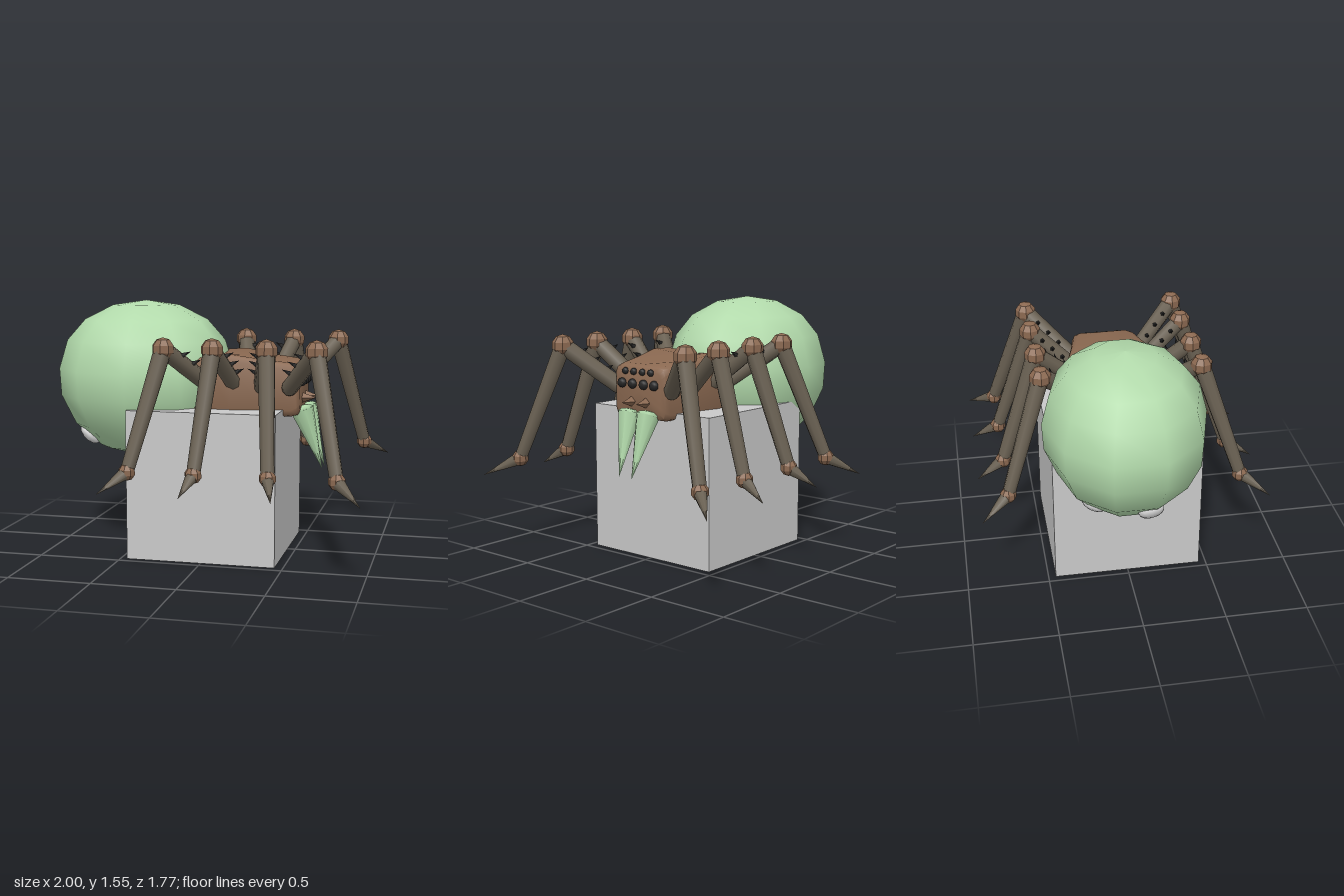
import * as THREE from 'three';
import { toCreasedNormals } from 'three/addons/utils/BufferGeometryUtils.js';

const mat = (name, color) => {
  const m = new THREE.MeshStandardMaterial({ color });
  m.name = name;
  return m;
};
const V = (x, y, z) => new THREE.Vector3(x, y, z);
const UP = V(0, 1, 0);

// Flat-faced copy of a geometry
function faceted(geo) {
  const g = geo.toNonIndexed();
  g.computeVertexNormals();
  return g;
}

// Tapered limb from a to b; a zero end radius makes a spike
function limb(a, b, ra, rb, sides) {
  const dir = b.clone().sub(a);
  const g = new THREE.CylinderGeometry(rb, ra, dir.length(), sides);
  g.applyQuaternion(new THREE.Quaternion().setFromUnitVectors(UP, dir.normalize()));
  const c = a.clone().add(b).multiplyScalar(0.5);
  return g.translate(c.x, c.y, c.z);
}

// Thorax skin lofted along x through rounded boxes with a dipped top
function thoraxGeometry() {
  // x, half width, bottom, top, corner radius, dip of the top middle
  const sections = [
    [-0.1, 0.26, 0.87, 1.2, 0.04, 0.02],
    [0.0, 0.268, 0.87, 1.235, 0.035, 0.02],
    [0.14, 0.275, 0.87, 1.24, 0.035, 0.02],
    [0.32, 0.235, 0.87, 1.21, 0.035, 0.015],
    [0.49, 0.205, 0.865, 1.19, 0.04, 0],
    [0.53, 0.195, 0.875, 1.18, 0.045, 0],
    [0.545, 0.17, 0.9, 1.155, 0.04, 0],
  ];
  const pos = [], index = [];
  const n = 13;
  for (const [x, w, lo, hi, r, dip] of sections) {
    const corner = (cu, cy, start) => {
      for (let k = 0; k < 3; k++) {
        const a = start + k * Math.PI / 4;
        pos.push(x, cy + r * Math.sin(a), -(cu + r * Math.cos(a)));
      }
    };
    corner(w - r, hi - r, 0);
    pos.push(x, hi - dip, 0);
    corner(r - w, hi - r, Math.PI / 2);
    corner(r - w, lo + r, Math.PI);
    corner(w - r, lo + r, Math.PI * 1.5);
  }
  const last = (sections.length - 1) * n;
  for (let i = 0; i < last; i += n) {
    for (let j = 0; j < n; j++) {
      const k = (j + 1) % n;
      index.push(i + j, i + k, i + n + k, i + j, i + n + k, i + n + j);
    }
  }
  // end caps
  const c = pos.length / 3;
  pos.push(-0.1, 1.03, 0, 0.545, 1.03, 0);
  for (let j = 0; j < n; j++) {
    const k = (j + 1) % n;
    index.push(c, k, j, c + 1, last + j, last + k);
  }
  const g = new THREE.BufferGeometry();
  g.setAttribute('position', new THREE.Float32BufferAttribute(pos, 3));
  g.setIndex(index);
  return toCreasedNormals(g, 0.9);
}

export function createModel() {
  const root = new THREE.Group();
  const green = mat('pale green', 0xb2daab);
  const brown = mat('brown', 0x8b6951);
  const legBrown = mat('grey brown', 0x696052);
  const black = mat('black', 0x262626);
  const white = mat('off white', 0xdcdcdc);
  const grey = mat('stone grey', 0xc9c9c9);

  const add = (name, geo, material, parent = root) => {
    const m = new THREE.Mesh(geo, material);
    m.name = name;
    parent.add(m);
    return m;
  };

  // Block the spider sits on
  add('block', new THREE.BoxGeometry(0.91, 0.91, 0.91).translate(-0.005, 0.455, 0), grey);

  // Ten-sided abdomen
  const profile = [[0, 0.57], [0.1, 0.577], [0.3, 0.63], [0.46, 0.77], [0.55, 0.95], [0.56, 1.12],
    [0.505, 1.3], [0.39, 1.43], [0.21, 1.52], [0, 1.55]].map(([r, y]) => new THREE.Vector2(r, y));
  add('abdomen', new THREE.LatheGeometry(profile, 10).scale(1, 1, 0.866).translate(-0.47, 0, -0.025), green);

  // Flattened spinnerets on its underside
  const centre = V(-0.47, 1.06, -0.025);
  for (const p of [V(-0.63, 0.65, -0.23), V(-0.82, 0.7, 0.07), V(-0.44, 0.66, 0.25)]) {
    const s = add('spinneret', new THREE.SphereGeometry(0.08, 10, 8).scale(1, 0.55, 1), white);
    s.position.copy(p);
    s.quaternion.setFromUnitVectors(UP, p.clone().sub(centre).normalize());
  }

  add('thorax', thoraxGeometry(), brown);

  // Eyes, feelers and fangs, mirrored across z
  for (const s of [-1, 1]) {
    for (const [y, z, r] of [[1.15, 0.1, 0.021], [1.15, 0.034, 0.021], [1.077, 0.126, 0.03], [1.077, 0.044, 0.03]]) {
      add('eye', new THREE.SphereGeometry(r, 8, 6).translate(0.55, y, s * z), black);
    }
    add('feeler', faceted(limb(V(0.53, 0.97, s * 0.057), V(0.63, 0.97, s * 0.057), 0.036, 0, 4)), brown);
    const base = V(0.545, 0.9, s * 0.073);
    add('fang', limb(base, V(0.67, 0.53, s * 0.05), 0.073, 0, 8), green);
    const cap = add('fangBase', new THREE.SphereGeometry(0.073, 8, 4).scale(1, 0.35, 1), green);
    cap.position.copy(base);
    cap.rotation.z = 0.32;
  }

  // Legs: x of hip, knee, ankle and tip, then the side its thorns point to
  const legs = [
    [0.0, -0.215, -0.37, -0.5, 1],
    [0.16, 0.08, 0.025, -0.02, 1],
    [0.32, 0.4, 0.455, 0.505, -1],
    [0.49, 0.69, 0.845, 0.995, -1],
  ];
  for (const s of [-1, 1]) {
    for (const [hx, kx, ax, tx, side] of legs) {
      const leg = new THREE.Group();
      leg.name = s > 0 ? 'leftLeg' : 'rightLeg';
      root.add(leg);
      const hip = V(hx, 1.045, s * 0.21);
      const knee = V(kx, 1.285, s * 0.482);
      const ankle = V(ax, 0.59, s * 0.715);
      const tip = V(tx, 0.485, s * 0.885);
      add('thigh', limb(hip, knee, 0.05, 0.052, 8), legBrown, leg);
      add('hip', new THREE.SphereGeometry(0.05, 8, 6).translate(hip.x, hip.y, hip.z), legBrown, leg);
      add('shin', limb(knee, ankle, 0.053, 0.04, 8), legBrown, leg);
      add('claw', limb(ankle, tip, 0.042, 0, 8), legBrown, leg);
      add('knee', faceted(new THREE.SphereGeometry(0.068, 8, 5).translate(kx, knee.y, knee.z)), brown, leg);
      add('ankle', faceted(new THREE.SphereGeometry(0.051, 8, 5).translate(ax, ankle.y, ankle.z)), brown, leg);
      // Thorns along the thigh
      for (const t of [0.3, 0.52, 0.74]) {
        const p = hip.clone().lerp(knee, t).add(V(side * 0.04, 0.02, 0));
        add('thorn', limb(p, p.clone().add(V(side * 0.055, 0.025, 0)), 0.016, 0, 5), black, leg);
      }
    }
  }
  return root;
}
